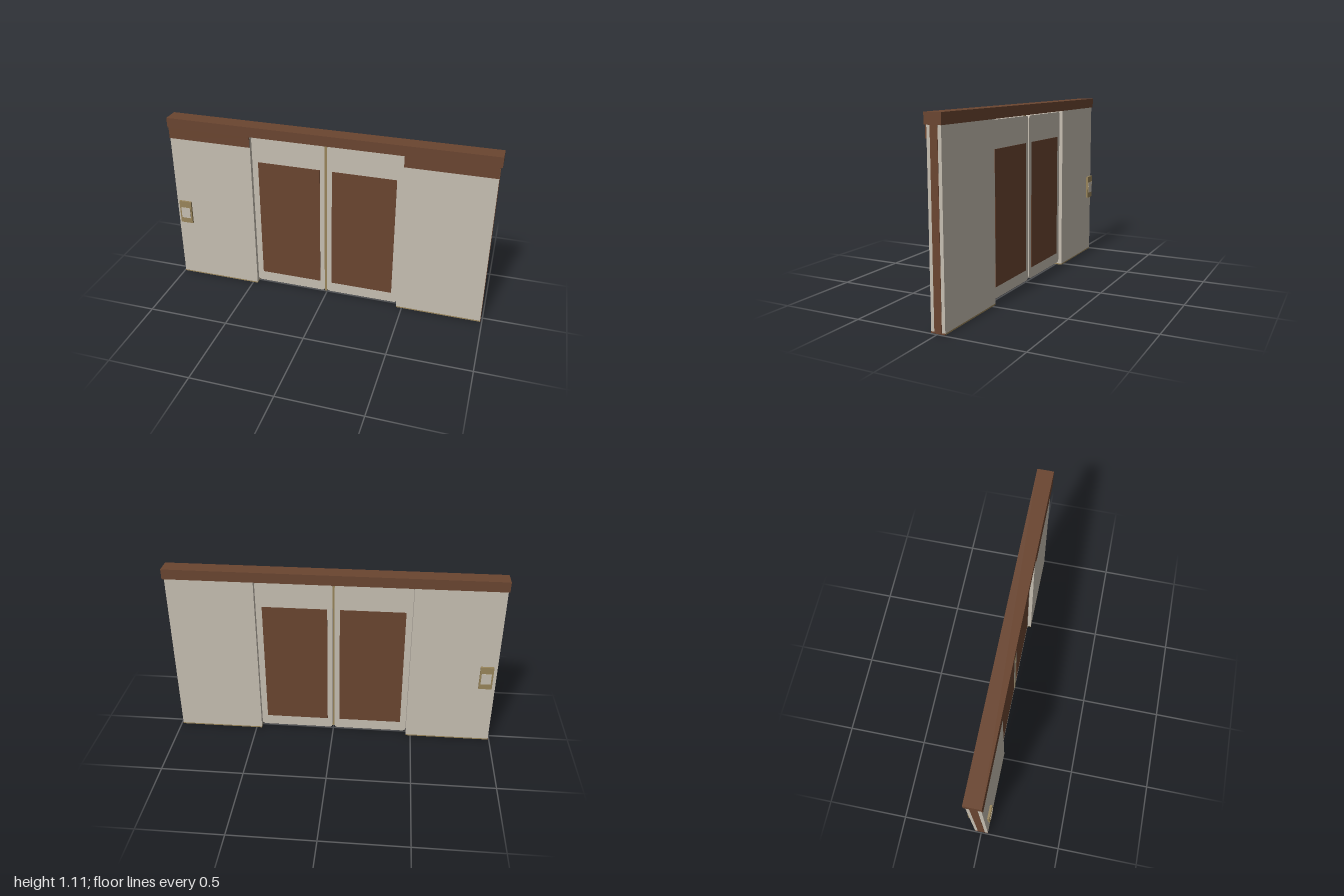
import * as THREE from 'three';

const mat = (name, color) => {
  const m = new THREE.MeshStandardMaterial({ color });
  m.name = name;
  return m;
};

export function createModel() {
  const group = new THREE.Group();
  const beige = mat('beigePanel', 0xc6beb1);
  const brown = mat('brownTrim', 0x6a4530);
  const olive = mat('oliveMetal', 0x98845a);

  // Box given by its minimum and maximum on each axis
  const box = (name, material, x0, x1, y0, y1, z0, z1, parent = group) => {
    const mesh = new THREE.Mesh(new THREE.BoxGeometry(x1 - x0, y1 - y0, z1 - z0), material);
    mesh.position.set((x0 + x1) / 2, (y0 + y1) / 2, (z0 + z1) / 2);
    mesh.name = name;
    parent.add(mesh);
    return mesh;
  };

  // Header rail across the whole width
  box('headerRail', brown, -1, 1, 1.048, 1.11, -0.05, 0.05);

  // Fixed wall on each side, with base, outer end trim and front fascia
  const walls = [
    { x0: -0.993, x1: -0.469, end: -0.993, name: 'rightWall' },
    { x0: 0.465, x1: 0.989, end: 0.989, name: 'leftWall' },
  ];
  for (const { x0, x1, end, name } of walls) {
    const wall = new THREE.Group();
    wall.name = name;
    group.add(wall);
    box('wallPanel', beige, x0, x1, 0.008, 1.048, -0.042, 0.042, wall);
    box('wallBase', olive, x0, x1, 0, 0.008, -0.042, 0.042, wall);
    box('endTrim', brown, end - 0.002, end + 0.002, 0.008, 1.048, -0.022, 0.022, wall);
    box('baseEndTrim', brown, end - 0.002, end + 0.002, 0, 0.008, -0.042, 0.042, wall);
    box('fascia', brown, x0, x1, 0.98, 1.048, 0.042, 0.05, wall);
  }

  // Rounded door leaf, extruded and centred in depth
  const doorGeometry = (w, h, r, depth) => {
    const s = new THREE.Shape();
    s.moveTo(r, 0);
    s.lineTo(w - r, 0);
    s.quadraticCurveTo(w, 0, w, r);
    s.lineTo(w, h - r);
    s.quadraticCurveTo(w, h, w - r, h);
    s.lineTo(r, h);
    s.quadraticCurveTo(0, h, 0, h - r);
    s.lineTo(0, r);
    s.quadraticCurveTo(0, 0, r, 0);
    return new THREE.ExtrudeGeometry(s, { depth, bevelEnabled: false, curveSegments: 5 })
      .translate(0, 0, -depth / 2);
  };

  // Pair of sliding doors with a window on both faces
  const doors = [
    { x0: -0.467, x1: -0.009, w0: -0.43, w1: -0.04, name: 'rightDoor' },
    { x0: 0.004, x1: 0.462, w0: 0.035, w1: 0.425, name: 'leftDoor' },
  ];
  for (const { x0, x1, w0, w1, name } of doors) {
    const door = new THREE.Group();
    door.name = name;
    group.add(door);
    const leaf = new THREE.Mesh(doorGeometry(x1 - x0, 1.02, 0.022, 0.04), beige);
    leaf.position.set(x0, 0.02, 0);
    leaf.name = 'doorLeaf';
    door.add(leaf);
    for (const z of [-0.021, 0.021]) {
      box('doorWindow', brown, w0, w1, 0.088, 0.878, z - 0.001, z + 0.001, door);
    }
  }

  // Seal between the two doors
  box('centreSeal', olive, -0.01, 0.006, 0.02, 1.04, 0, 0.022);

  // Control panel on the front and on the back
  for (const side of [1, -1]) {
    const panel = new THREE.Group();
    panel.name = side > 0 ? 'frontControlPanel' : 'backControlPanel';
    group.add(panel);
    const plate = (name, material, x0, x1, y0, y1, a, b) =>
      box(name, material, x0, x1, y0, y1, Math.min(a * side, b * side), Math.max(a * side, b * side), panel);
    plate('panelFrame', olive, -0.97, -0.89, 0.4, 0.552, 0.051, 0.064);
    plate('panelRim', olive, -0.959, -0.899, 0.437, 0.51, 0.064, 0.067);
    plate('panelFace', beige, -0.959, -0.899, 0.437, 0.51, 0.067, 0.068);
  }

  return group;
}
